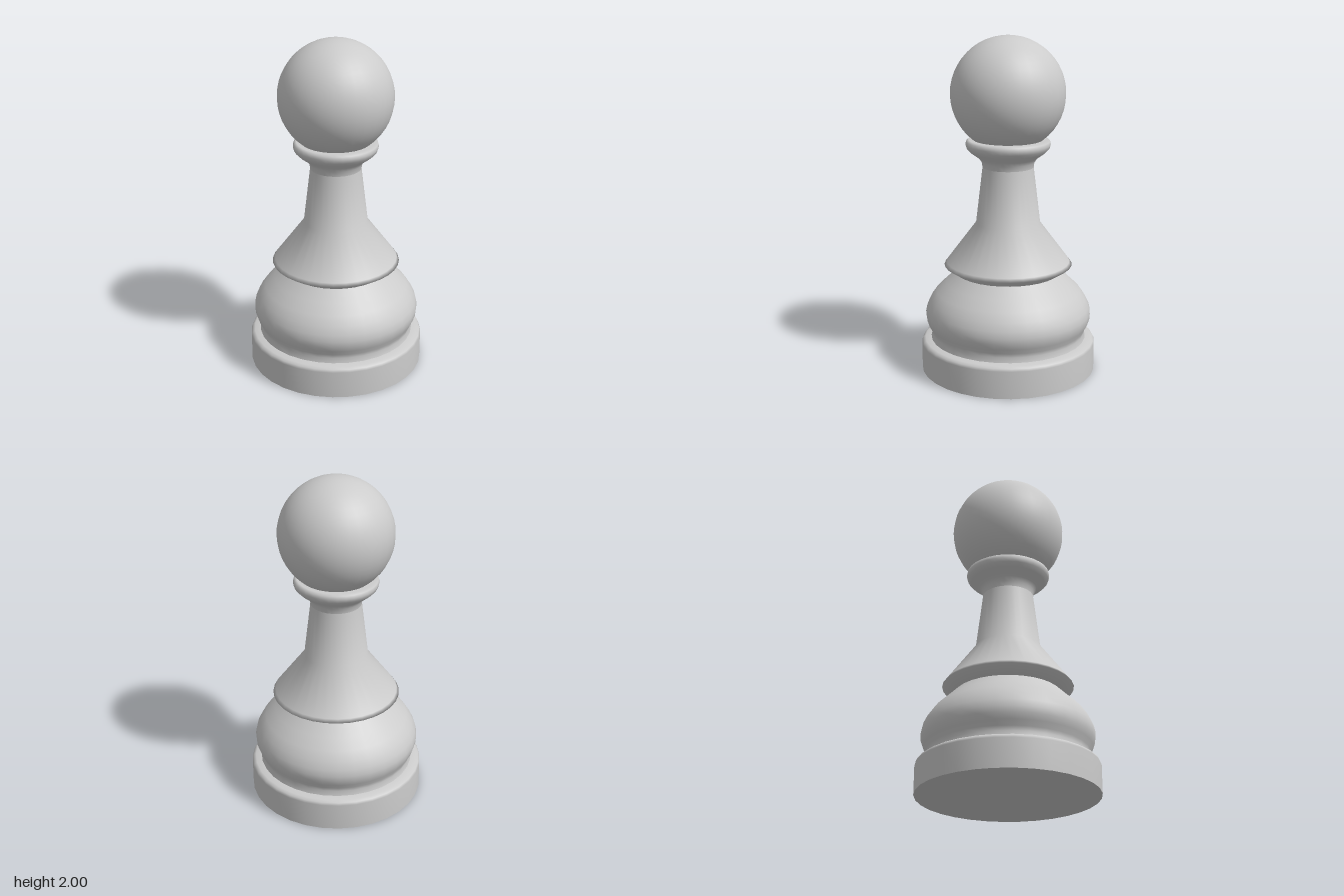
import * as THREE from 'three';

const SIDES = 32;
const material = new THREE.MeshStandardMaterial({ color: 0xcccccc });

// Turned part from [radius, height] pairs, listed bottom to top
function turned(name, profile) {
  const points = profile.map(([r, y]) => new THREE.Vector2(r, y));
  const mesh = new THREE.Mesh(new THREE.LatheGeometry(points, SIDES), material);
  mesh.name = name;
  return mesh;
}

export function createModel() {
  const group = new THREE.Group();
  group.name = 'chessPawn';

  // Plinth, repeated points keep the bottom edge sharp
  group.add(turned('base', [
    [0, 0], [0.522, 0], [0.522, 0], [0.522, 0.165], [0.515, 0.18],
    [0.5, 0.19], [0.465, 0.195],
  ]));

  // Groove and rounded belly, up to the notch under the skirt
  group.add(turned('belly', [
    [0.465, 0.195], [0.458, 0.225], [0.464, 0.25], [0.48, 0.28], [0.492, 0.315],
    [0.495, 0.35], [0.487, 0.39], [0.465, 0.435], [0.43, 0.485], [0.372, 0.54],
    [0.31, 0.6],
  ]));

  // Flared skirt and tapered stem
  group.add(turned('stem', [
    [0.31, 0.6], [0.38, 0.645], [0.365, 0.665], [0.19, 0.9], [0.15, 1.235],
  ]));

  // Collar with a rolled rim under the head
  group.add(turned('collar', [
    [0.15, 1.235], [0.155, 1.265], [0.172, 1.29], [0.22, 1.325], [0.242, 1.348],
    [0.249, 1.37], [0.245, 1.39], [0.23, 1.4], [0, 1.4],
  ]));

  // Ball head
  const head = new THREE.Mesh(new THREE.SphereGeometry(0.335, SIDES, 24), material);
  head.name = 'head';
  head.position.y = 1.665;
  group.add(head);

  return group;
}
